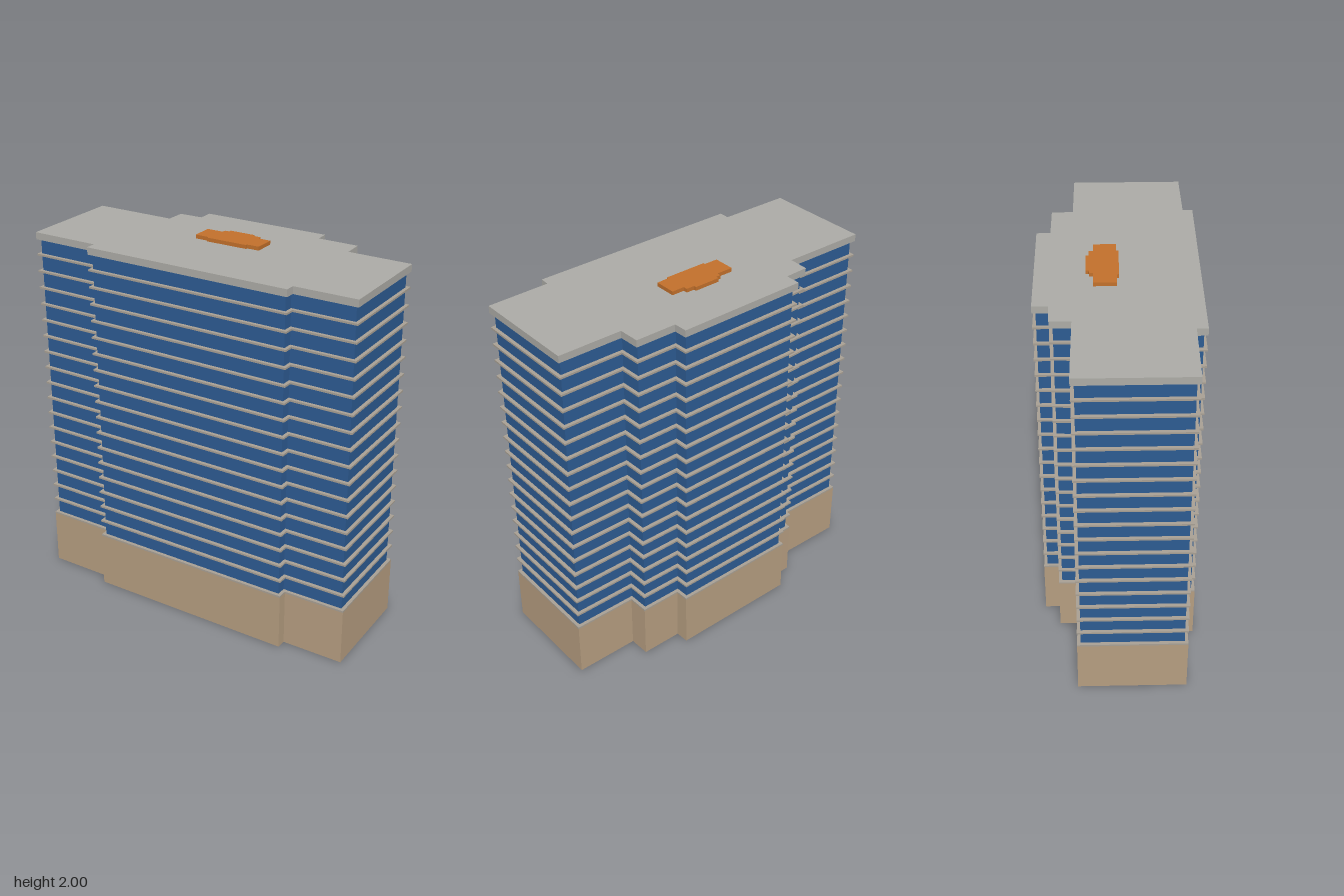
import * as THREE from 'three';

// Stepped floor plan, as [x, z], walked clockwise seen from above
const PLAN = [
  [-0.928, -0.228], [-0.478, -0.222], [-0.475, -0.327], [-0.346, -0.33],
  [-0.346, -0.41], [0.357, -0.406], [0.36, -0.335], [0.58, -0.332],
  [0.584, -0.222], [0.925, -0.217], [0.925, 0.353], [0.592, 0.355],
  [0.59, 0.406], [-0.551, 0.4], [-0.551, 0.345], [-0.928, 0.341],
].map(([x, z]) => new THREE.Vector2(x, -z));

// Moves every wall of the plan inward by the same distance
function insetPlan(distance) {
  const count = PLAN.length;
  const inward = (a, b) => {
    const d = b.clone().sub(a).normalize();
    return new THREE.Vector2(d.y, -d.x);
  };
  return PLAN.map((p, i) => {
    const n1 = inward(PLAN[(i + count - 1) % count], p);
    const n2 = inward(p, PLAN[(i + 1) % count]);
    return p.clone().addScaledVector(n1.clone().add(n2), distance / (1 + n1.dot(n2)));
  });
}

// Upright prism on a plan, between two heights
function prism(name, plan, bottom, top, material) {
  const geometry = new THREE.ExtrudeGeometry(new THREE.Shape(plan), {
    depth: top - bottom, bevelEnabled: false,
  });
  geometry.rotateX(-Math.PI / 2);
  const mesh = new THREE.Mesh(geometry, material);
  mesh.name = name;
  mesh.position.y = bottom;
  return mesh;
}

function flatColour(name, color) {
  const material = new THREE.MeshStandardMaterial({ color });
  material.name = name;
  return material;
}

export function createModel() {
  const stone = flatColour('tan stone', 0xb59d80);
  const glass = flatColour('blue glass', 0x2d5b92);
  const ledge = flatColour('warm grey ledge', 0xa8a094);
  const concrete = flatColour('grey roof', 0xacaba6);
  const orange = flatColour('orange', 0xc2702b);

  const model = new THREE.Group();
  model.name = 'officeTower';

  // Solid podium and the glazed tower set back slightly above it
  model.add(prism('podium', PLAN, 0, 0.306, stone));
  model.add(prism('glassTower', insetPlan(0.018), 0.306, 1.942, glass));

  // Thin ledges at each floor, the lowest capping the podium
  const ledges = new THREE.Group();
  ledges.name = 'floorLedges';
  for (let i = 0; i < 18; i++) {
    const y = 0.311 + i * 0.0911;
    ledges.add(prism('floorLedge', PLAN, y - 0.005, y + 0.005, ledge));
  }
  model.add(ledges);

  // Roof slab with a small rooftop block that repeats the plan
  model.add(prism('roofSlab', PLAN, 1.942, 1.98, concrete));
  const rooftop = prism('rooftopBlock', PLAN, 1.98, 2, orange);
  rooftop.scale.set(0.2, 1, 0.2);
  rooftop.position.x = 0.015;
  rooftop.position.z = -0.075;
  model.add(rooftop);

  return model;
}
